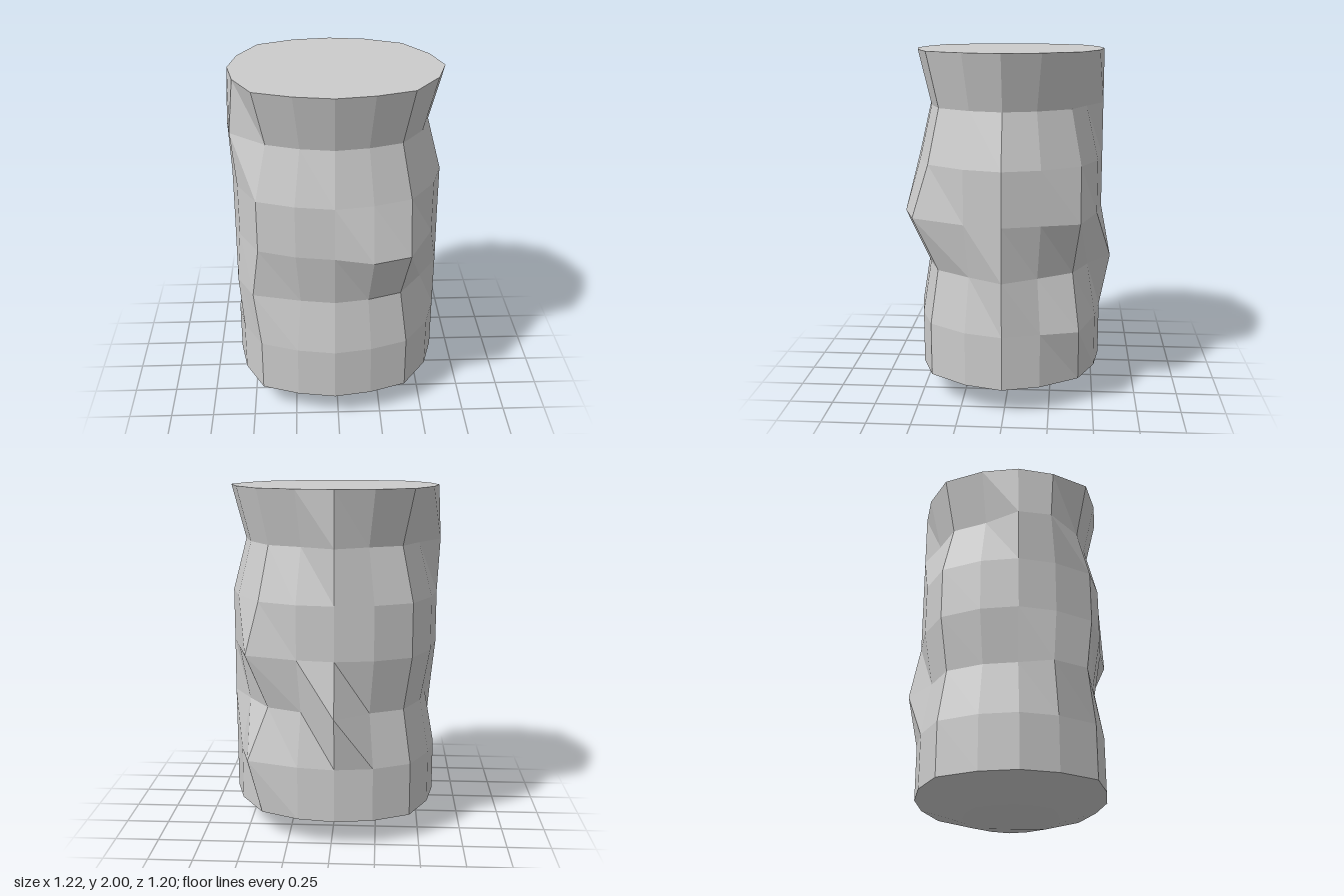
import * as THREE from 'three';

// Base outline [x, z], from back left, round the back, +x side, front and -x side
const outline = [
  [-0.445, -0.415], [-0.235, -0.51], [-0.02, -0.54], [0.19, -0.51],
  [0.405, -0.415], [0.545, -0.2], [0.605, 0.01], [0.545, 0.22],
  [0.4, 0.43], [0.19, 0.505], [-0.02, 0.54], [-0.235, 0.505],
  [-0.445, 0.43], [-0.555, 0.22], [-0.595, 0.01], [-0.555, -0.2],
];

// Each level: height, scale of the outline, and corners that bulge or dent
const levels = [
  { y: 0.055, scale: 0.5 },
  { y: 0.15, scale: 1 },
  { y: 0.46, scale: 1, moved: { 4: [0.485, -0.415] } },
  { y: 0.77, scale: 0.905, moved: { 2: [-0.02, -0.6], 6: [0.607, 0.01], 12: [-0.485, 0.39], 13: [-0.58, 0.2] } },
  { y: 1.08, scale: 1, moved: { 4: [0.485, -0.415], 8: [0.4, 0.525], 9: [0.19, 0.595] } },
  { y: 1.385, scale: 1 },
  { y: 1.69, scale: 0.865, moved: { 2: [-0.02, -0.54], 13: [-0.585, 0.2], 14: [-0.61, 0.01] } },
  { y: 2, scale: 1 },
];

const rings = levels.map(({ y, scale, moved = {} }) =>
  outline.map(([x, z], i) => {
    const [px, pz] = moved[i] ?? [x * scale, z * scale];
    return [px, y, pz];
  }));

function facetedMesh(name, triangles) {
  const geometry = new THREE.BufferGeometry();
  geometry.setAttribute('position', new THREE.Float32BufferAttribute(triangles.flat(2), 3));
  geometry.computeVertexNormals();
  const mesh = new THREE.Mesh(geometry, new THREE.MeshStandardMaterial({ color: 0xcccccc, flatShading: true }));
  mesh.name = name;
  return mesh;
}

// Side faces between two neighbouring rings
function band(lower, upper) {
  return lower.flatMap((a, i) => {
    const j = (i + 1) % lower.length;
    return [[a, upper[i], upper[j]], [a, upper[j], lower[j]]];
  });
}

// Fan of faces from a ring to a centre point
function fan(ring, centre, facesUp) {
  return ring.map((a, i) => {
    const b = ring[(i + 1) % ring.length];
    return facesUp ? [a, centre, b] : [a, b, centre];
  });
}

export function createModel() {
  const group = new THREE.Group();
  group.name = 'column';

  // Shallow pointed underside
  group.add(facetedMesh('underside', [...fan(rings[0], [0, 0, 0.01], false), ...band(rings[0], rings[1])]));

  // Dented trunk wall
  const wall = [];
  for (let k = 1; k < rings.length - 1; k++) wall.push(...band(rings[k], rings[k + 1]));
  group.add(facetedMesh('trunk', wall));

  // Flat top
  group.add(facetedMesh('top', fan(rings.at(-1), [0, 2, 0], true)));
  return group;
}
